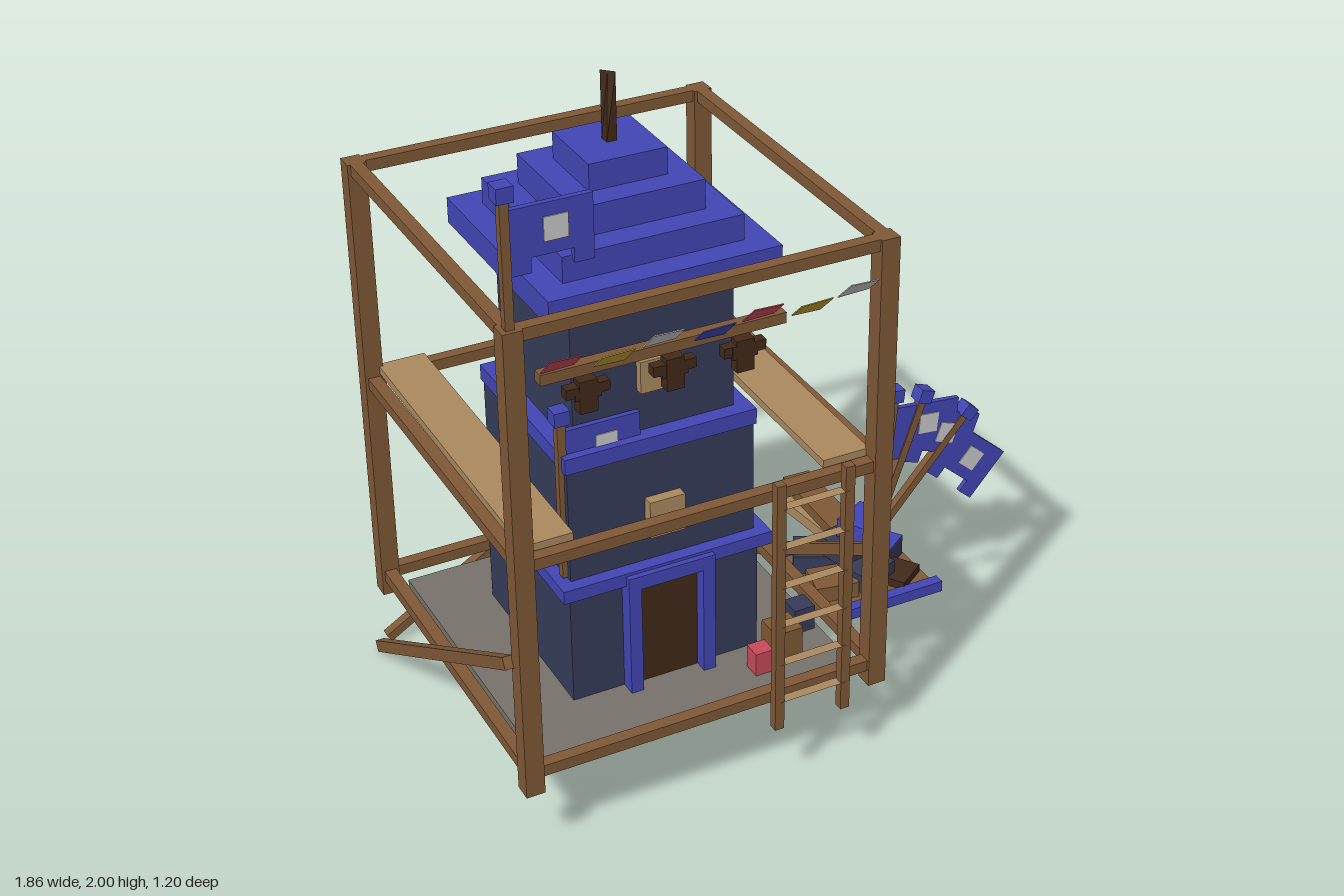
import * as THREE from 'three';

const paint = (name, color) => Object.assign(new THREE.MeshStandardMaterial({ color }), { name });

export function createModel() {
  const root = new THREE.Group();
  root.name = 'scaffoldedTower';
  const wood = paint('wood', 0x7f5936), dark = paint('darkWood', 0x42291a), tan = paint('paleWood', 0xab895f);
  const blue = paint('blue', 0x4246b4), navy = paint('navyStone', 0x353c5a), grey = paint('greyStone', 0x77726b);
  const red = paint('red', 0xc84a5a), yellow = paint('yellow', 0xc4a032), white = paint('white', 0xcacaca);
  tan.side = THREE.DoubleSide;

  const box = (name, mat, [w, h, d], [x, y, z], parent = root, ry = 0) => {
    const m = new THREE.Mesh(new THREE.BoxGeometry(w, h, d), mat);
    m.name = name;
    m.position.set(x, y, z);
    m.rotation.y = ry;
    parent.add(m);
    return m;
  };
  // beam running between two points
  const beam = (name, mat, a, b, w, h) => {
    const p = new THREE.Vector3(...a), q = new THREE.Vector3(...b);
    const m = box(name, mat, [w, h, p.distanceTo(q)], p.clone().add(q).multiplyScalar(0.5).toArray());
    m.lookAt(q);
  };
  const group = (name) => {
    const g = new THREE.Group();
    g.name = name;
    root.add(g);
    return g;
  };
  const shape = (points) => new THREE.Shape(points.map(([x, y]) => new THREE.Vector2(x, y)));

  // tower: stacked square blocks [name, material, half width, bottom, top]
  const cx = -0.357, cz = -0.025, tower = group('tower');
  const blocks = [
    ['lowerWall', navy, 0.285, 0.26, 0.62], ['lowerBand', blue, 0.315, 0.615, 0.655],
    ['middleWall', navy, 0.277, 0.655, 1], ['middleBand', blue, 0.283, 0.995, 1.042],
    ['upperWall', navy, 0.237, 1.042, 1.472], ['roofTier1', blue, 0.331, 1.472, 1.546],
    ['roofTier2', blue, 0.258, 1.546, 1.62], ['roofTier3', blue, 0.184, 1.62, 1.705],
    ['roofTier4', blue, 0.112, 1.705, 1.782],
  ];
  for (const [n, mat, r, y0, y1] of blocks) box(n, mat, [2 * r, y1 - y0, 2 * r], [cx, (y0 + y1) / 2, cz], tower);

  // spike: a post whose top narrows to a diagonal ridge
  const spike = box('spike', dark, [0.03, 0.195, 0.03], [cx, 1.876, cz], tower);
  const sp = spike.geometry.attributes.position;
  for (let i = 0; i < sp.count; i++) {
    if (sp.getY(i) > 0 && sp.getX(i) * sp.getZ(i) < 0) sp.setXYZ(i, 0, sp.getY(i), 0);
  }
  spike.geometry = spike.geometry.toNonIndexed();
  spike.geometry.computeVertexNormals();

  // doorway and windows
  for (const s of [-1, 1]) box('doorJamb', blue, [0.037, 0.36, 0.052], [cx + s * 0.112, 0.44, 0.281], tower);
  box('doorLintel', blue, [0.262, 0.042, 0.052], [cx, 0.625, 0.281], tower);
  box('door', dark, [0.19, 0.345, 0.008], [cx, 0.435, 0.263], tower);
  box('lowerWindow', tan, [0.105, 0.113, 0.04], [cx, 0.798, 0.264], tower);
  box('upperWindow', tan, [0.1, 0.095, 0.03], [cx, 1.215, 0.222], tower);

  // hanging rail with lanterns
  box('lanternRail', wood, [0.71, 0.032, 0.035], [-0.355, 1.315, 0.267]);
  for (const x of [-0.577, -0.328, -0.122]) {
    const g = group('lantern');
    box('lanternArm', dark, [0.125, 0.03, 0.03], [x, 1.25, 0.267], g);
    box('lanternBody', dark, [0.075, 0.04, 0.033], [x, 1.245, 0.267], g);
    box('lanternStem', dark, [0.052, 0.095, 0.036], [x, 1.232, 0.267], g);
  }

  // stone floor
  box('floorSlab', grey, [0.955, 0.044, 0.945], [-0.355, 0.244, -0.02]);

  // scaffold frame
  const X = [-0.877, 0.165], Z = [0.503, -0.543];
  for (const x of X) for (const z of Z) box('scaffoldPost', wood, [0.054, 1.4, 0.054], [x, 0.92, z]);
  for (const y of [0.284, 0.94, 1.603]) {
    for (const z of Z) box('crossBeam', wood, [1.042, 0.034, 0.036], [-0.356, y, z]);
    for (const x of X) box('sideBeam', wood, [0.036, 0.034, 1.046], [x, y, -0.02]);
  }
  // slightly sloping walkway planks
  for (const x of [-0.79, 0.077]) box('walkway', tan, [0.14, 0.024, 1.01], [x, 0.97, -0.025]).rotation.x = 0.012;
  // diagonal braces
  for (const x of [-0.915, 0.2]) beam('sideBrace', wood, [x, 0.635, 0.48], [x, 0.02, -0.55], 0.026, 0.035);
  beam('backBrace', wood, [-0.88, 0.02, -0.584], [0.14, 0.635, -0.584], 0.03, 0.028);

  // ladder with paper-thin flat rungs
  for (const x of [-0.175, 0.03]) box('ladderRail', wood, [0.028, 0.79, 0.027], [x, 0.615, 0.572]);
  const rungGeo = new THREE.PlaneGeometry(0.2, 0.03).rotateX(-Math.PI / 2);
  for (let i = 0; i < 6; i++) {
    const rung = new THREE.Mesh(rungGeo, tan);
    rung.name = 'ladderRung';
    rung.position.set(-0.072, 0.31 + i * 0.125, 0.572);
    root.add(rung);
  }

  // banner on a pole, hung from the top of the pole
  const clothGeo = new THREE.ExtrudeGeometry(shape([
    [0.012, -0.047], [0.228, -0.047], [0.228, -0.222], [0.175, -0.222], [0.175, -0.182],
    [0.065, -0.182], [0.065, -0.222], [0.012, -0.222],
  ]), { depth: 0.016, bevelEnabled: false }).translate(0, 0, -0.008);
  const banner = (x, y, z, length, tilt) => {
    const g = group('banner');
    box('bannerPole', wood, [0.024, length, 0.024], [0, -length / 2, 0], g);
    box('poleCap', blue, [0.045, 0.042, 0.045], [0, 0, 0], g);
    const cloth = new THREE.Mesh(clothGeo, blue);
    cloth.name = 'bannerCloth';
    g.add(cloth);
    box('bannerPatch', white, [0.064, 0.064, 0.022], [0.13, -0.115, 0], g);
    g.position.set(x, y, z);
    g.rotation.z = -tilt;
  };
  banner(-0.878, 1.979, 0.505, 0.37, 0);
  banner(-0.637, 1.16, 0.224, 0.5, 0);
  banner(0.535, 0.77, -0.025, 0.46, 0.1);
  banner(0.635, 0.742, -0.025, 0.45, 0.34);
  banner(0.79, 0.645, -0.025, 0.45, 0.72);

  // row of slanted pennants
  const pennantGeo = new THREE.ExtrudeGeometry(shape([
    [-0.043, -0.047], [0.043, -0.036], [0.043, 0.036], [-0.043, 0.047],
  ]), { depth: 0.003, bevelEnabled: false }).translate(0, 0, -0.0015);
  [red, yellow, white, blue, red, yellow, white].forEach((mat, i) => {
    const p = new THREE.Mesh(pennantGeo, mat);
    p.name = 'pennant';
    p.position.set(-0.768 + i * 0.137, i % 2 ? 1.502 : 1.523, 0.562);
    p.rotation.x = 0.8;
    if (i % 2) p.rotation.z = Math.PI;
    root.add(p);
  });

  // side pallet
  box('palletDeck', wood, [0.34, 0.014, 0.32], [0.375, 0.24, 0.05]);
  for (const z of [-0.12, 0.223]) box('palletRail', blue, [0.37, 0.035, 0.034], [0.375, 0.242, z]);
  box('loosePlank', tan, [0.09, 0.035, 0.34], [0.39, 0.278, -0.18], root, 0.12);
  box('loosePlank', wood, [0.09, 0.035, 0.42], [0.403, 0.313, -0.17], root, -0.03);
  // heaped blocks [material, x, y, z, turn, width, height]
  const heap = [
    [navy, 0.28, 0.285, -0.02, -0.5, 0.14, 0.06], [wood, 0.26, 0.272, 0.11, -0.2, 0.13, 0.05],
    [navy, 0.35, 0.345, 0.04, 0.2, 0.14, 0.06], [dark, 0.46, 0.26, 0.135, 0.6, 0.11, 0.025],
    [navy, 0.465, 0.28, 0.03, 0.6, 0.1, 0.06], [blue, 0.465, 0.313, 0.03, 0.6, 0.1, 0.006],
    [blue, 0.39, 0.41, 0.065, 0.45, 0.12, 0.06], [navy, 0.37, 0.285, 0.12, 0.35, 0.13, 0.06],
  ];
  for (const [mat, x, y, z, ry, w, h] of heap) box('heapedBlock', mat, [w, h, 0.11], [x, y, z], root, ry);

  // small goods on the floor
  box('redBox', red, [0.055, 0.075, 0.055], [-0.12, 0.301, 0.37]);
  box('crate', wood, [0.085, 0.1, 0.085], [-0.03, 0.315, 0.333]);
  box('stoneBlock', navy, [0.065, 0.08, 0.065], [0.075, 0.305, 0.243]);
  return root;
}
